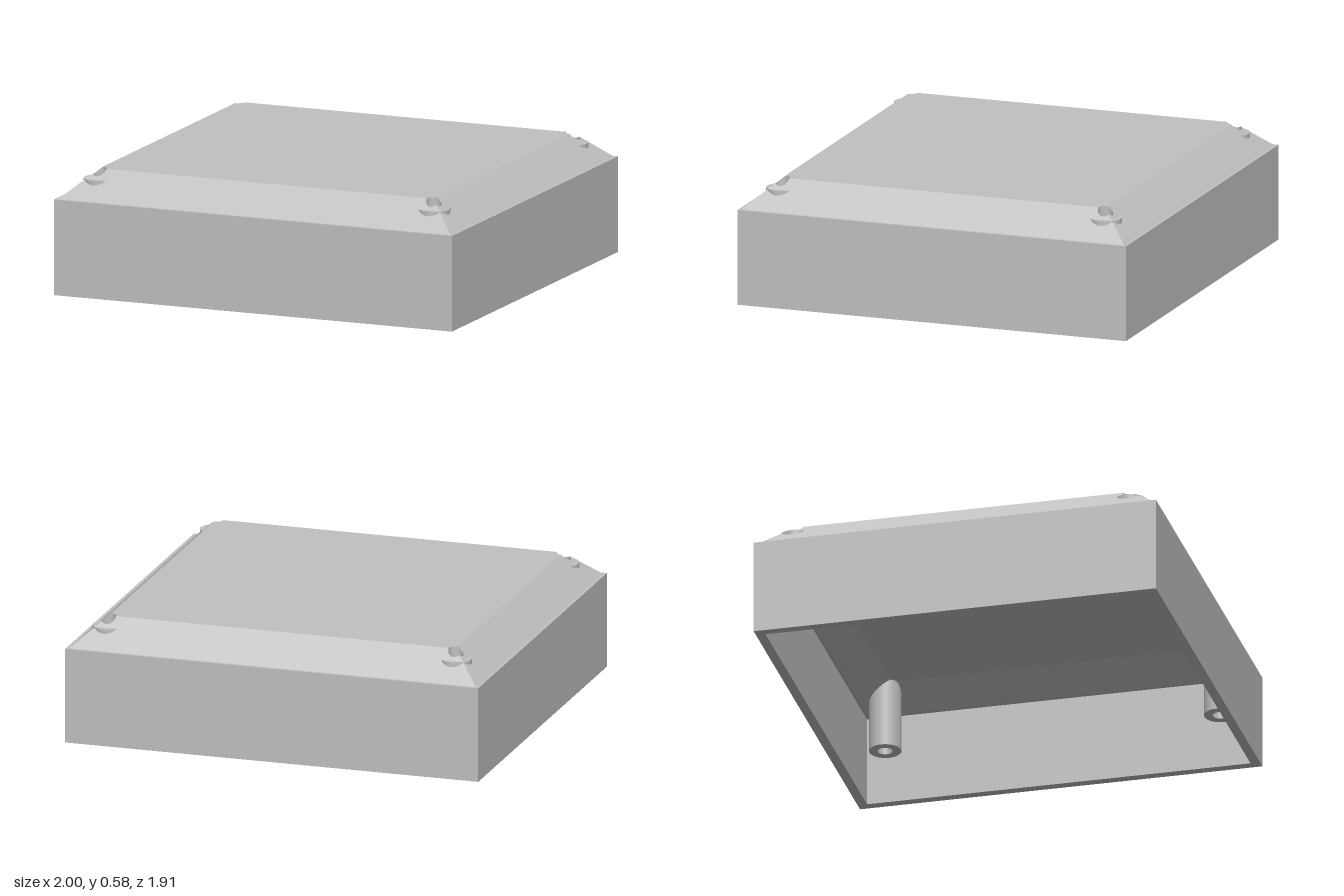
import * as THREE from 'three';

const W = 1, D = 0.955;            // half width and half depth
const WALL_TOP = 0.45, TOP = 0.58; // heights of wall and roof
const LEDGE = 0.015, FLAT = 0.16;  // insets where the outer slope starts and ends
const POST_R = 0.075, BORE_R = 0.035, POST_LOW = 0.205, POST_TOP = 0.535;

export function createModel() {
  const model = new THREE.Group();
  const grey = new THREE.MeshStandardMaterial({ color: 0xc0c0c0, side: THREE.DoubleSide });
  grey.name = 'lightGrey';

  function add(geometry, name, parent = model) {
    const mesh = new THREE.Mesh(geometry, grey);
    mesh.name = name;
    parent.add(mesh);
    return mesh;
  }

  // Rectangle outline inset from the footprint
  function rectangle(inset, Type = THREE.Shape) {
    const x = W - inset, z = D - inset;
    return new Type([[-x, -z], [x, -z], [x, z], [-x, z]].map(p => new THREE.Vector2(...p)));
  }

  // Four sloped panels, notched at the hips for the screw bores
  function slopes(d0, y0, d1, y1, endAngle, name) {
    const group = new THREE.Group();
    group.name = name;
    for (let k = 0; k < 4; k++) {
      const [half, out] = k % 2 ? [D, W] : [W, D];
      const right = [[half - d0, d0]];
      for (let i = 0; i <= 16; i++) {
        const a = -Math.PI / 4 + (endAngle + Math.PI / 4) * i / 16;
        right.push([half - FLAT + BORE_R * Math.cos(a), FLAT + BORE_R * Math.sin(a)]);
      }
      if (d1 > FLAT) right.push([half - d1, d1]);
      const left = right.map(([u, d]) => [-u, d]).reverse();
      const shape = new THREE.Shape([...right, ...left].map(p => new THREE.Vector2(...p)));
      const geo = new THREE.ShapeGeometry(shape);
      const pos = geo.attributes.position;
      for (let i = 0; i < pos.count; i++) {
        const d = pos.getY(i);
        pos.setXYZ(i, pos.getX(i), y0 + (d - d0) / (d1 - d0) * (y1 - y0), out - d);
      }
      geo.computeVertexNormals();
      geo.rotateY(k * Math.PI / 2);
      add(geo, name + 'Panel', group);
    }
    model.add(group);
  }

  // Side walls
  const wall = rectangle(0);
  wall.holes.push(rectangle(0.045, THREE.Path));
  add(new THREE.ExtrudeGeometry(wall, { depth: WALL_TOP, bevelEnabled: false })
    .rotateX(-Math.PI / 2), 'sideWalls');

  // Narrow step inside, under the roof
  const step = rectangle(0.045);
  step.holes.push(rectangle(0.06, THREE.Path));
  add(new THREE.ShapeGeometry(step).rotateX(Math.PI / 2), 'innerLedge').position.y = 0.43;

  // Sloped roof, outside and inside
  slopes(LEDGE, WALL_TOP, FLAT, TOP, -Math.PI, 'outerSlope');
  slopes(0.06, 0.43, 0.2, POST_TOP, -1.25 * Math.PI, 'innerSlope');

  // Flat top with quarter-round corner notches
  const x = W - FLAT, z = D - FLAT, top = new THREE.Shape();
  [[x, z], [-x, z], [-x, -z], [x, -z]].forEach(([cx, cz], k) => {
    const start = (k - 1) * Math.PI / 2;
    top.absarc(cx, cz, BORE_R, start, start - Math.PI / 2, true);
  });
  add(new THREE.ShapeGeometry(top, 8).rotateX(-Math.PI / 2), 'flatTop').position.y = TOP;
  add(new THREE.ShapeGeometry(rectangle(0.2)).rotateX(Math.PI / 2), 'ceiling').position.y = POST_TOP;

  // Hollow screw posts
  for (const sx of [-1, 1]) for (const sz of [-1, 1]) {
    const post = new THREE.Group();
    post.name = 'screwPost';
    post.position.set(sx * x, 0, sz * z);
    model.add(post);
    const h = POST_TOP - POST_LOW;
    add(new THREE.CylinderGeometry(POST_R, POST_R, h, 40, 1, true), 'postSide', post)
      .position.y = POST_LOW + h / 2;
    const ring = new THREE.RingGeometry(BORE_R, POST_R, 40);
    add(ring.clone().rotateX(-Math.PI / 2), 'postTop', post).position.y = POST_TOP;
    add(ring.clone().rotateX(Math.PI / 2), 'postEnd', post).position.y = POST_LOW;

    // Bore wall, its upper edge trimmed to the roof
    const bore = new THREE.CylinderGeometry(BORE_R, BORE_R, 1, 32, 1, true);
    const pos = bore.attributes.position;
    for (let i = 0; i < pos.count; i++) {
      const drop = Math.max(0, sx * pos.getX(i), sz * pos.getZ(i));
      const trimmed = TOP - drop * (TOP - WALL_TOP) / (FLAT - LEDGE);
      pos.setY(i, pos.getY(i) > 0 ? trimmed : POST_LOW);
    }
    add(bore, 'boreWall', post);
  }
  return model;
}
